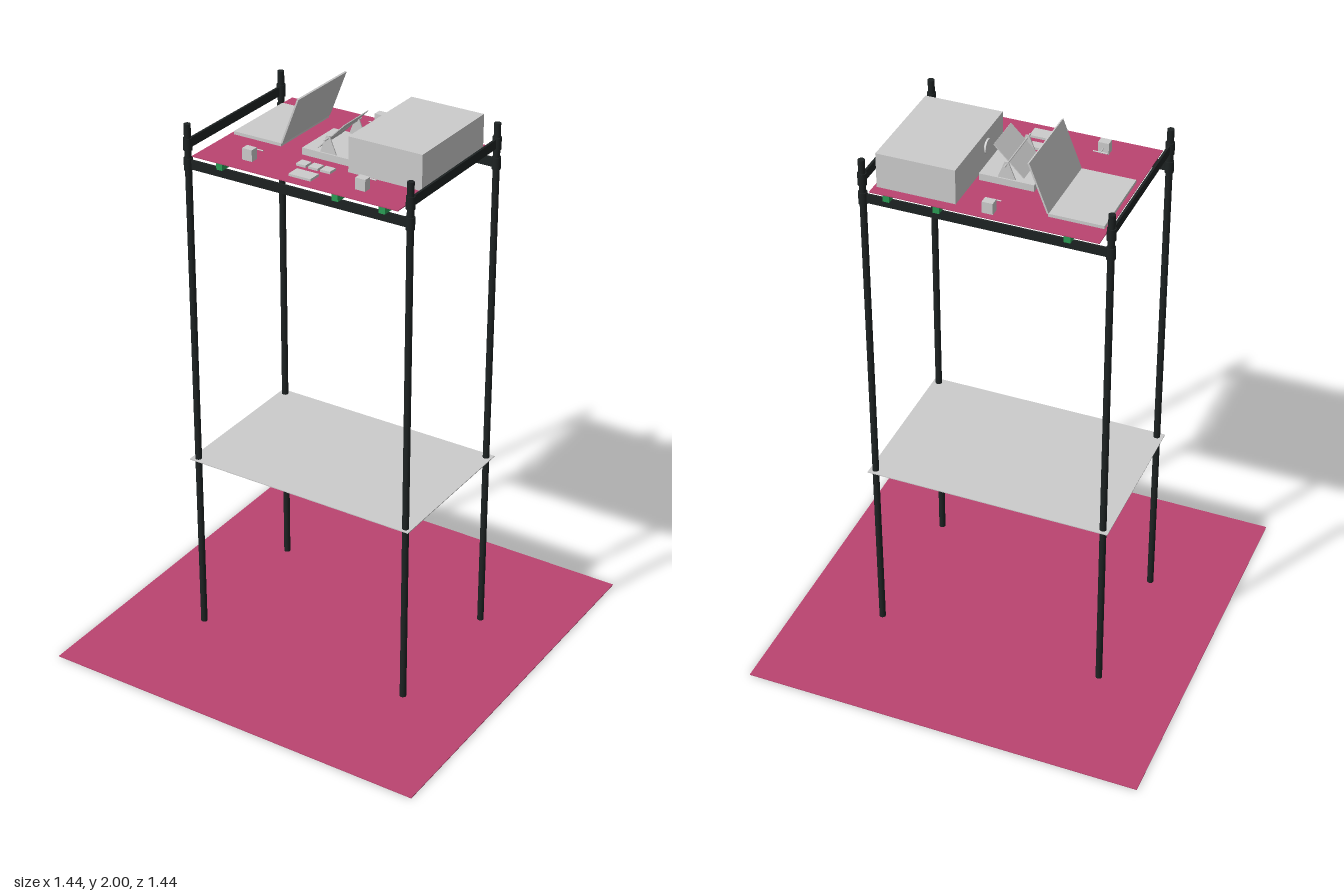
import * as THREE from 'three';

const mat = (color) => new THREE.MeshStandardMaterial({ color });

export function createModel() {
  const model = new THREE.Group();
  const grey = mat(0xcccccc), black = mat(0x1d2222), red = mat(0xba4470), green = mat(0x2a9d55);

  // Box given by its limits on each axis
  function box(name, material, x0, x1, y0, y1, z0, z1, parent = model) {
    const mesh = new THREE.Mesh(new THREE.BoxGeometry(x1 - x0, y1 - y0, z1 - z0), material);
    mesh.position.set((x0 + x1) / 2, (y0 + y1) / 2, (z0 + z1) / 2);
    mesh.name = name;
    parent.add(mesh);
    return mesh;
  }
  // Cylinder along a chosen axis
  function rod(name, material, r, length, x, y, z, axis = 'y', parent = model) {
    const mesh = new THREE.Mesh(new THREE.CylinderGeometry(r, r, length, 20), material);
    if (axis === 'x') mesh.rotation.z = Math.PI / 2;
    if (axis === 'z') mesh.rotation.x = Math.PI / 2;
    mesh.position.set(x, y, z);
    mesh.name = name;
    parent.add(mesh);
    return mesh;
  }

  // Ground mat, lower shelf and table top
  const top = 1.823;
  box('floorMat', red, -0.718, 0.718, 0, 0.003, -0.718, 0.718);
  box('lowerShelf', grey, -0.438, 0.436, 0.676, 0.679, -0.29, 0.288);
  box('tableTop', red, -0.385, 0.382, 1.82, top, -0.29, 0.288);

  // Posts with collars where the rails meet them
  const px = 0.415, pz = 0.268;
  for (const sx of [-1, 1]) for (const sz of [-1, 1]) {
    rod('post', black, 0.0115, 1.92, sx * px, 0.96, sz * pz);
    rod('lowerCollar', black, 0.015, 0.042, sx * px, 1.782, sz * pz);
    rod('upperCollar', black, 0.015, 0.042, sx * px, 1.851, sz * pz);
  }
  // Flat rails: low ones front and back, high ones on the sides
  for (const s of [-1, 1]) {
    box('longRail', black, -px, px, 1.766, 1.798, s * pz - 0.004, s * pz + 0.004);
    box('sideRail', black, s * px - 0.004, s * px + 0.004, 1.835, 1.867, -pz, pz);
  }
  // Cross bars carrying the table top
  for (const x of [-0.28, 0.155, 0.325]) {
    box('crossBar', green, x - 0.011, x + 0.011, 1.798, 1.82, -0.29, 0.288);
  }

  // Large equipment case with a round knob on its inner side
  box('equipmentCase', grey, 0.103, 0.372, top, 1.945, -0.255, 0.128);
  rod('caseKnob', grey, 0.026, 0.007, 0.1, 1.892, -0.003, 'x');

  // Laptop, with its lid leaning back
  const laptop = new THREE.Group();
  laptop.name = 'laptop';
  model.add(laptop);
  box('laptopBase', grey, -0.372, -0.187, top, 1.834, -0.212, 0.073, laptop);
  const lid = box('laptopLid', grey, -0.003, 0.003, 0, 0.178, -0.212, 0.073, laptop);
  lid.geometry.translate(0, 0.089, 0);
  lid.position.set(-0.186, 1.833, -0.0695);
  lid.rotation.z = -Math.atan2(0.064, 0.164);

  // Central unit let into the table top
  const unit = new THREE.Group();
  unit.name = 'tiltUnit';
  model.add(unit);
  box('unitBase', grey, -0.095, 0.092, 1.797, 1.847, -0.097, 0.09, unit);
  // Triangular end supports
  const tri = new THREE.Shape([[-0.03, 0], [0.03, 0], [0.006, 0.06], [-0.006, 0.06]]
    .map(([x, y]) => new THREE.Vector2(x, y)));
  for (const z of [-0.092, 0.081]) {
    const support = new THREE.Mesh(
      new THREE.ExtrudeGeometry(tri, { depth: 0.004, bevelEnabled: false }), grey);
    support.position.set(0, 1.847, z);
    support.name = 'tiltSupport';
    unit.add(support);
  }
  rod('tiltAxle', grey, 0.003, 0.22, 0, 1.898, -0.002, 'z', unit);
  const plate = box('tiltPlate', grey, -0.072, 0.072, 1.8965, 1.8995, -0.073, 0.067, unit);
  plate.rotation.z = Math.PI / 4;

  // Small block devices, each with a stem and a cross handle
  for (const [x, z, dir] of [[-0.215, 0.211, -1], [0.208, 0.211, -1], [-0.008, -0.253, 1]]) {
    const device = new THREE.Group();
    device.name = 'blockDevice';
    device.position.set(x, top, z);
    model.add(device);
    box('deviceBody', grey, -0.0185, 0.0185, 0, 0.04, -0.0145, 0.0145, device);
    rod('deviceStem', grey, 0.002, 0.028, 0, 0.02, dir * 0.028, 'z', device);
    rod('deviceHandle', grey, 0.002, 0.05, 0, 0.02, dir * 0.04, 'x', device);
  }

  // Three flat tiles and a pad at the front
  for (const x of [-0.046, 0, 0.045]) {
    box('tile', grey, x - 0.018, x + 0.018, top, top + 0.008, 0.138, 0.173);
  }
  box('pad', grey, -0.04, 0.042, top, top + 0.008, 0.203, 0.252);

  return model;
}
